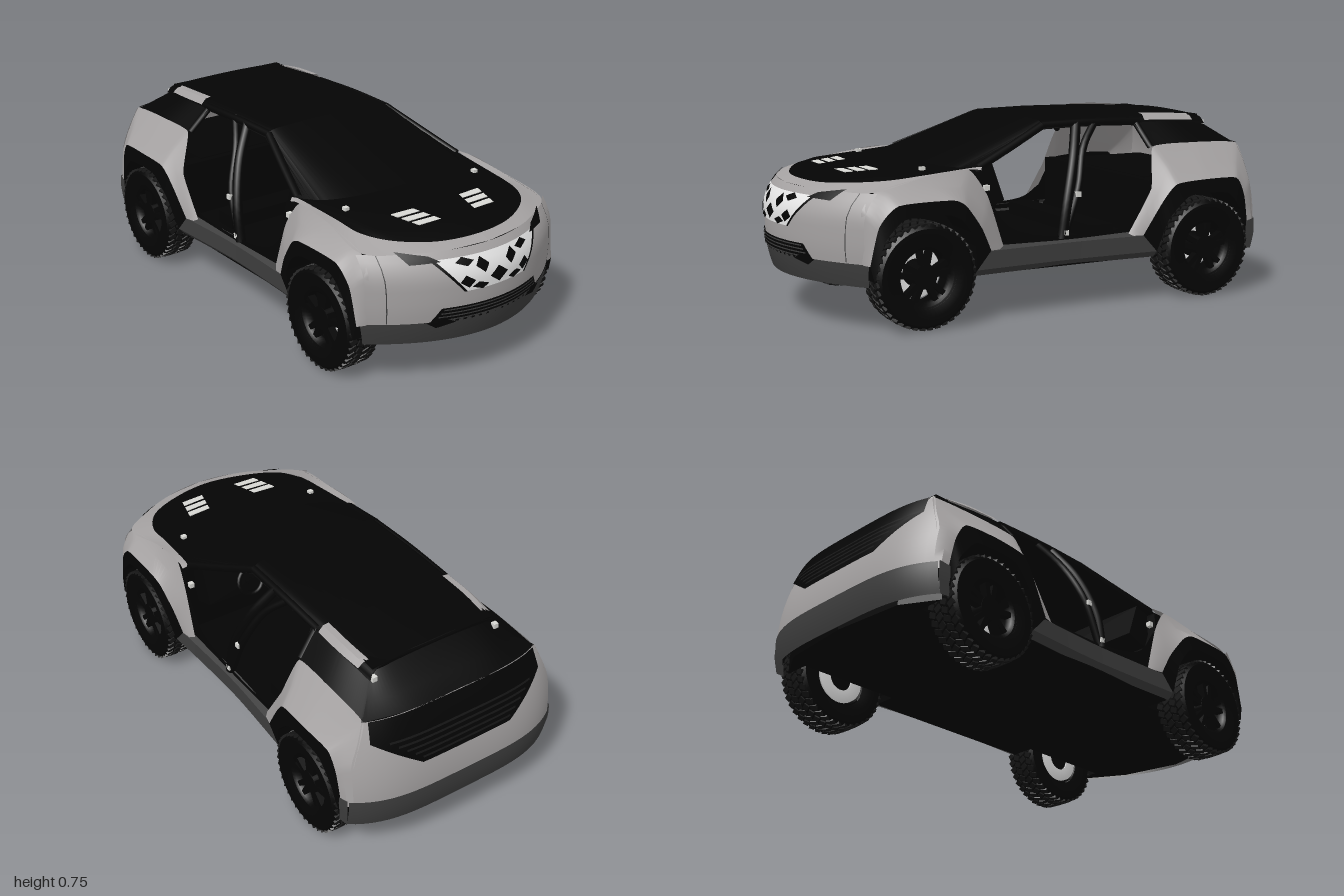
import * as THREE from 'three';
import { mergeGeometries, toCreasedNormals } from 'three/addons/utils/BufferGeometryUtils.js';

const paint = (name, color) => new THREE.MeshStandardMaterial({ name, color, side: THREE.DoubleSide });
const grey = paint('bodyGrey', 0xa5a2a2);
const dark = paint('claddingGrey', 0x3e3e3e);
const black = paint('glossBlack', 0x040404);
const rubber = paint('tyreBlack', 0x161616);
const white = paint('lampWhite', 0xffffff);
const silver = paint('ventSilver', 0xd8d8d4);

export function createModel() {
  const car = new THREE.Group();
  car.name = 'offRoadCar';

  const add = (name, geo, mat, parent = car) => {
    const mesh = new THREE.Mesh(geo, mat);
    mesh.name = name;
    parent.add(mesh);
    return mesh;
  };
  const box = (name, mat, w, h, d, x, y, z, rx = 0) => {
    const m = add(name, new THREE.BoxGeometry(w, h, d), mat);
    m.position.set(x, y, z);
    m.rotation.x = rx;
    return m;
  };
  // Smooth sheet from f(u, v), both 0..1
  const sheet = (f, nu, nv) => {
    const pos = [], idx = [];
    for (let j = 0; j <= nv; j++) for (let i = 0; i <= nu; i++) pos.push(...f(i / nu, j / nv));
    for (let j = 0; j < nv; j++) for (let i = 0; i < nu; i++) {
      const a = j * (nu + 1) + i, b = a + nu + 1;
      idx.push(a, a + 1, b, a + 1, b + 1, b);
    }
    const g = new THREE.BufferGeometry();
    g.setAttribute('position', new THREE.Float32BufferAttribute(pos, 3));
    g.setIndex(idx);
    return toCreasedNormals(g, 0.5);
  };
  // Panel stretched between rails with equal point counts; low tension keeps corners crisp
  const loft = (rails, tension = 0.5, n = 36) => {
    const curves = rails.map(r => new THREE.CatmullRomCurve3(r.map(p => new THREE.Vector3(...p)), false, 'catmullrom', tension));
    const rows = curves.length - 1;
    return sheet((u, v) => curves[Math.round(v * rows)].getPoint(u).toArray(), n, rows);
  };
  const pair = (name, geo, mat) => {
    add(name + 'Left', geo, mat);
    add(name + 'Right', geo.clone().scale(-1, 1, 1), mat);
  };
  const full = half => [...half.slice(1).reverse().map(([x, y, z]) => [-x, y, z]), ...half];

  // Curved nose and tail surfaces
  const nose = (x, y) => 1 - 0.9 * x * x - 4 * Math.max(0, y - 0.4) ** 2 - Math.max(0, 0.35 - y) ** 2;
  const tail = (x, y) => -0.993 + 1.8 * x ** 4 + 0.8 * Math.max(0, y - 0.28) ** 2 + 1.4 * Math.max(0, 0.28 - y) ** 2;
  const face = (surf, w, y0, y1, off = 0) => sheet((u, v) => {
    const y = y0 + (y1 - y0) * v, x = (u * 2 - 1) * w(y);
    return [x, y, surf(x, y) + off];
  }, 32, 10);
  // Thin four-cornered patch laid on a curved surface
  const decal = (name, mat, [a, b, c, d], surf = nose, off = 0.004) => add(name, sheet((u, v) => {
    const mix = k => (a[k] * (1 - u) + b[k] * u) * (1 - v) + (d[k] * (1 - u) + c[k] * u) * v;
    return [mix(0), mix(1), surf(mix(0), mix(1)) + off];
  }, 16, 6), mat);

  // Nose, tail and lower bumpers
  add('frontFascia', face(nose, () => 0.458, 0.26, 0.515), grey);
  add('frontBumper', face(nose, y => 0.45 + (y - 0.175) * 0.22, 0.175, 0.262, 0.004), dark);
  add('rearFascia', face(tail, y => 0.456 - Math.max(0, y - 0.45) * 0.4, 0.27, 0.605), grey);
  add('rearBumper', face(tail, () => 0.47, 0.175, 0.295, -0.004), dark);

  // Front grille, lamps and intake
  decal('grillePanel', white, [[-0.14, 0.37], [0.14, 0.37], [0.245, 0.492], [-0.245, 0.492]]);
  const spots = [[0, 0.41, 0.042, 0.03], [0.068, 0.457, 0.028, 0.028], [0.135, 0.477, 0.036, 0.016],
    [0.082, 0.385, 0.036, 0.015], [0.135, 0.408, 0.03, 0.024]];
  for (const [x, y, w, h] of spots) for (const s of x ? [1, -1] : [1]) {
    const cx = x * s, k = x ? 0.2 * s : 0;
    decal('grilleDiamond', black, [[cx - w, y], [cx - w * k, y - h], [cx + w, y], [cx + w * k, y + h]], nose, 0.008);
  }
  for (const s of [1, -1]) {
    decal('headlamp', black, [[s * 0.215, 0.485], [s * 0.32, 0.482], [s * 0.35, 0.524], [s * 0.25, 0.505]]);
    decal('grilleEdge', black, [[s * 0.135, 0.37], [s * 0.145, 0.37], [s * 0.255, 0.493], [s * 0.24, 0.493]], nose, 0.006);
    decal('intakeCorner', black, [[s * 0.17, 0.255], [s * 0.24, 0.238], [s * 0.275, 0.262], [s * 0.22, 0.28]], nose, 0.009);
    decal('bumperSeam', dark, [[s * 0.393, 0.265], [s * 0.396, 0.265], [s * 0.407, 0.514], [s * 0.404, 0.514]], nose, 0.003);
  }
  decal('lowerIntake', black, [[-0.265, 0.255], [0.265, 0.255], [0.225, 0.315], [-0.225, 0.315]]);
  for (let i = 0; i < 4; i++) {
    const y = 0.265 + i * 0.0135, w = 0.245 - i * 0.009;
    decal('intakeSlat', dark, [[-w, y], [w, y], [w, y + 0.005], [-w, y + 0.005]], nose, 0.008);
  }

  // Black tailgate with slats
  decal('tailgateUpper', black, [[-0.385, 0.53], [0.385, 0.53], [0.375, 0.606], [-0.375, 0.606]], tail, -0.005);
  decal('tailgateLower', black, [[-0.2, 0.41], [0.2, 0.41], [0.385, 0.53], [-0.385, 0.53]], tail, -0.005);
  for (let i = 0; i < 5; i++) {
    const y = 0.43 + i * 0.022, w = 0.2 + i * 0.03;
    decal('tailgateSlat', rubber, [[-w, y], [w, y], [w, y + 0.008], [-w, y + 0.008]], tail, -0.009);
  }

  // Bonnet with its grey surround
  const cowl = [[0, 0.583, 0.48], [0.2, 0.58, 0.46], [0.33, 0.576, 0.41], [0.4, 0.577, 0.34]];
  const bonnetFront = [[0, 0.53, 0.9], [0.17, 0.53, 0.87], [0.31, 0.54, 0.79], [0.375, 0.548, 0.68]];
  add('bonnet', loft([
    full(bonnetFront),
    full([[0, 0.562, 0.8], [0.18, 0.56, 0.78], [0.31, 0.558, 0.72], [0.38, 0.556, 0.62]]),
    full(cowl)]), black);
  pair('bonnetSurround', loft([
    [...bonnetFront, [0.382, 0.558, 0.55], [0.4, 0.577, 0.36], [0.415, 0.58, 0.32]],
    [...[0, 0.17, 0.31].map(x => [x, 0.515, nose(x, 0.515)]), [0.44, 0.518, 0.76], [0.425, 0.56, 0.55],
      [0.425, 0.575, 0.38], [0.43, 0.57, 0.33]]]), grey);
  // Slanted vents lying almost flush in the bonnet
  const vent = new THREE.Shape([[-0.054, -0.018], [0.046, -0.013], [0.054, 0.018], [-0.046, 0.013]].map(p => new THREE.Vector2(...p)));
  const ventGeo = new THREE.ExtrudeGeometry(vent, { depth: 0.008, bevelEnabled: false }).rotateX(-Math.PI / 2 + 0.065);
  for (let i = 0; i < 3; i++) {
    pair('bonnetVent', ventGeo.clone().translate(0.159 - i * 0.012, 0.562 - i * 0.003, 0.67 + i * 0.045), silver);
  }

  // Windscreen, roof and rear window
  const roofRow = (z, dy, k = 1) => full([[0, 0.745, z + 0.02], [0.2 * k, 0.738, z + 0.01], [0.28 * k, 0.728, z], [0.305 * k, 0.7, z - 0.01]]
    .map(p => [p[0], p[1] + dy, p[2]]));
  add('windscreen', loft([full(cowl), roofRow(0, -0.004)]), black);
  add('roof', loft([roofRow(0, -0.004), roofRow(-0.22, 0), roofRow(-0.5, -0.004), roofRow(-0.765, -0.018, 0.96)]), black);
  add('rearWindow', loft([
    full([[0, 0.722, -0.745], [0.2, 0.715, -0.745], [0.29, 0.68, -0.76]]),
    full([[0, 0.632, -0.84], [0.2, 0.632, -0.835], [0.34, 0.632, -0.81]]),
    full([0, 0.2, 0.394].map(x => [x, 0.604, tail(x, 0.604)]))]), black);
  box('spoiler', black, 0.54, 0.016, 0.06, 0, 0.712, -0.725);
  pair('quarterWindow', loft([
    [[0.305, 0.7, -0.42], [0.305, 0.7, -0.6], [0.29, 0.68, -0.77]],
    [[0.385, 0.61, -0.46], [0.385, 0.618, -0.65], [0.385, 0.606, -0.86]]]), black);
  pair('roofStrip', loft([
    [[0.262, 0.735, -0.47], [0.262, 0.73, -0.6], [0.255, 0.722, -0.71]],
    [[0.287, 0.732, -0.47], [0.287, 0.728, -0.6], [0.28, 0.716, -0.71]],
    [[0.308, 0.71, -0.47], [0.308, 0.706, -0.6], [0.3, 0.7, -0.71]]]), grey);

  // Flared wings, arch trims and wheel wells
  const frontArch = [[0.485, 0.26, 0.8], [0.49, 0.4, 0.765], [0.495, 0.472, 0.69], [0.497, 0.477, 0.48],
    [0.49, 0.45, 0.42], [0.475, 0.36, 0.35], [0.462, 0.27, 0.305]];
  const frontLip = [[0.49, 0.2, 0.785], [0.5, 0.34, 0.75], [0.5, 0.42, 0.67], [0.5, 0.425, 0.5],
    [0.5, 0.395, 0.435], [0.49, 0.32, 0.385], [0.465, 0.2, 0.365]];
  const rearArch = [[0.465, 0.27, -0.37], [0.48, 0.4, -0.45], [0.49, 0.468, -0.51], [0.495, 0.48, -0.65],
    [0.49, 0.475, -0.8], [0.485, 0.4, -0.845], [0.478, 0.27, -0.87]];
  const rearLip = [[0.465, 0.2, -0.435], [0.49, 0.33, -0.475], [0.5, 0.415, -0.56], [0.5, 0.425, -0.66],
    [0.5, 0.415, -0.76], [0.495, 0.33, -0.83], [0.478, 0.2, -0.86]];
  const inward = lip => lip.map(([, y, z]) => [0.33, y, z]);
  pair('frontWing', loft([
    [[0.445, 0.26, 0.815], [0.445, 0.45, 0.815], [0.435, 0.52, 0.755], [0.425, 0.56, 0.55], [0.425, 0.575, 0.38],
      [0.435, 0.47, 0.305], [0.44, 0.27, 0.24]],
    [[0.472, 0.26, 0.807], [0.474, 0.43, 0.79], [0.455, 0.505, 0.715], [0.448, 0.52, 0.55], [0.45, 0.51, 0.41],
      [0.46, 0.415, 0.325], [0.455, 0.27, 0.265]], frontArch], 0.25), grey);
  pair('rearWing', loft([
    [[0.44, 0.27, -0.31], [0.44, 0.45, -0.42], [0.385, 0.61, -0.46], [0.385, 0.618, -0.65], [0.388, 0.605, -0.87],
      [0.445, 0.45, -0.9], [0.445, 0.27, -0.924]],
    [[0.455, 0.27, -0.33], [0.458, 0.45, -0.45], [0.44, 0.535, -0.495], [0.442, 0.545, -0.65], [0.44, 0.53, -0.83],
      [0.472, 0.43, -0.87], [0.472, 0.27, -0.9]], rearArch], 0.2), grey);
  pair('frontArchTrim', loft([frontArch, frontLip, inward(frontLip)], 0.3), black);
  pair('rearArchTrim', loft([rearArch, rearLip, inward(rearLip)], 0.3), black);
  // Dark cladding closing the corner behind each rear wheel
  pair('rearCornerCladding', loft([
    [[0.481, 0.29, -0.86], [0.48, 0.24, -0.86], [0.474, 0.175, -0.858]],
    [[0.474, 0.3, -0.905], [0.474, 0.24, -0.906], [0.469, 0.175, -0.895]]]), dark);

  // Sills
  const sillRow = (dx, y) => [[0.455 + dx, y, 0.365], [0.445 + dx, y, 0.15], [0.44 + dx, y, -0.1], [0.455 + dx, y, -0.435]];
  pair('sillCladding', loft([sillRow(-0.02, 0.285), sillRow(0.008, 0.268), sillRow(0.008, 0.2), sillRow(-0.015, 0.175)]), dark);
  pair('doorSill', loft([
    [[0.43, 0.46, 0.3], [0.43, 0.34, 0.2], [0.43, 0.295, 0], [0.43, 0.3, -0.28], [0.43, 0.36, -0.4]],
    [[0.435, 0.26, 0.3], [0.435, 0.26, 0.2], [0.435, 0.26, 0], [0.435, 0.26, -0.28], [0.435, 0.26, -0.4]]]), black);

  // Floor pan notched around the wheels
  const plan = [[0, 0.955], [0.25, 0.9], [0.43, 0.795], [0.43, 0.785], [0.335, 0.785], [0.335, 0.36], [0.43, 0.36],
    [0.43, -0.43], [0.335, -0.43], [0.335, -0.86], [0.44, -0.86], [0.3, -0.94], [0, -0.965]];
  const pan = new THREE.Shape([...plan, ...plan.slice(1, -1).reverse().map(([x, z]) => [-x, z])].map(p => new THREE.Vector2(...p)));
  add('floorPan', new THREE.ExtrudeGeometry(pan, { depth: 0.075, bevelEnabled: false }).rotateX(Math.PI / 2).translate(0, 0.25, 0), black);
  box('engineBay', black, 0.67, 0.3, 0.44, 0, 0.36, 0.57);
  box('cargoBay', black, 0.67, 0.25, 0.42, 0, 0.36, -0.66);
  box('firewall', black, 0.84, 0.3, 0.04, 0, 0.41, 0.345);
  box('rearBulkhead', black, 0.84, 0.25, 0.06, 0, 0.355, -0.452);

  // Cabin
  box('dashboard', black, 0.76, 0.15, 0.1, 0, 0.495, 0.28, 0.35);
  box('rearSeat', black, 0.7, 0.06, 0.1, 0, 0.275, -0.25);
  const wheelRing = add('steeringWheel', new THREE.TorusGeometry(0.055, 0.01, 8, 24), black);
  wheelRing.position.set(0.19, 0.49, 0.2);
  wheelRing.rotation.x = 0.35;
  const column = add('steeringColumn', new THREE.CylinderGeometry(0.014, 0.014, 0.1, 10), black);
  column.position.set(0.19, 0.475, 0.24);
  column.rotation.x = 1.9;

  // Pillars
  const tube = (pts, r) => new THREE.TubeGeometry(new THREE.CatmullRomCurve3(pts.map(p => new THREE.Vector3(...p))), 16, r, 8);
  pair('frontPillar', tube([[0.393, 0.573, 0.33], [0.342, 0.64, 0.16], [0.292, 0.706, 0]], 0.017), black);
  pair('middlePillar', tube([[0.425, 0.28, -0.02], [0.42, 0.42, -0.045], [0.37, 0.58, -0.1], [0.287, 0.71, -0.16]], 0.021), black);
  pair('middleBrace', tube([[0.425, 0.29, -0.03], [0.41, 0.47, -0.1], [0.345, 0.62, -0.16], [0.285, 0.715, -0.25]], 0.016), black);
  pair('roofRail', tube([[0.29, 0.708, 0], [0.293, 0.711, -0.22], [0.293, 0.705, -0.45]], 0.016), black);
  pair('rearPillar', tube([[0.295, 0.7, -0.435], [0.335, 0.655, -0.445], [0.375, 0.61, -0.455]], 0.013), black);

  // Small marker lamps
  for (const s of [1, -1]) for (const [x, y, z] of [[0.317, 0.572, 0.52], [0.412, 0.5, 0.3], [0.435, 0.305, -0.03],
    [0.425, 0.45, -0.09], [0.275, 0.685, -0.77]]) box('markerLamp', silver, 0.02, 0.02, 0.02, s * x, y, z);

  // Wheels, built with the axle along x and the outer side at +x
  const lathe = (pts, n = 48) => new THREE.LatheGeometry(pts.map(p => new THREE.Vector2(...p)), n).rotateZ(-Math.PI / 2);
  const tyre = toCreasedNormals(lathe([[0.112, -0.055], [0.15, -0.069], [0.18, -0.068], [0.194, -0.056], [0.196, 0],
    [0.194, 0.056], [0.18, 0.068], [0.15, 0.069], [0.112, 0.055]]), 0.6);
  const blocks = [];
  for (let i = 0; i < 40; i++) for (let j = 0; j < 4; j++) {
    const block = new THREE.BoxGeometry(0.028, 0.01, 0.021).rotateY(j % 2 ? 0.45 : -0.45);
    block.translate((j - 1.5) * 0.032, j % 3 ? 0.195 : 0.193, 0);
    blocks.push(block.rotateX((i + (j % 2) * 0.5) / 40 * Math.PI * 2));
  }
  const tread = mergeGeometries(blocks);
  const barrel = lathe([[0.108, -0.055], [0.1, -0.03], [0.098, 0.02], [0.1, 0.048], [0.12, 0.058]]);
  const disc = lathe([[0.05, -0.056], [0.1, -0.056], [0.1, -0.046], [0.05, -0.046], [0.05, -0.056]]);
  const hub = new THREE.CylinderGeometry(0.046, 0.052, 0.1, 20).rotateZ(-Math.PI / 2);
  const spokes = [];
  for (let i = 0; i < 5; i++) for (const e of [-1, 1]) {
    spokes.push(new THREE.BoxGeometry(0.03, 0.085, 0.02).translate(0.033, 0.064, 0)
      .rotateX(e * 0.2 + i / 5 * Math.PI * 2));
  }
  const spokeSet = mergeGeometries(spokes);
  for (const s of [1, -1]) for (const [end, z] of [['front', 0.58], ['rear', -0.66]]) {
    const wheel = new THREE.Group();
    wheel.name = end + 'Wheel' + (s > 0 ? 'Left' : 'Right');
    wheel.position.set(s * 0.427, 0.2, z);
    wheel.rotation.y = s > 0 ? 0 : Math.PI;
    add('tyre', tyre, black, wheel);
    add('tread', tread, rubber, wheel);
    add('rim', barrel, black, wheel);
    add('brakeDisc', disc, white, wheel);
    add('hub', hub, black, wheel);
    add('spokes', spokeSet, black, wheel);
    car.add(wheel);
  }
  return car;
}
